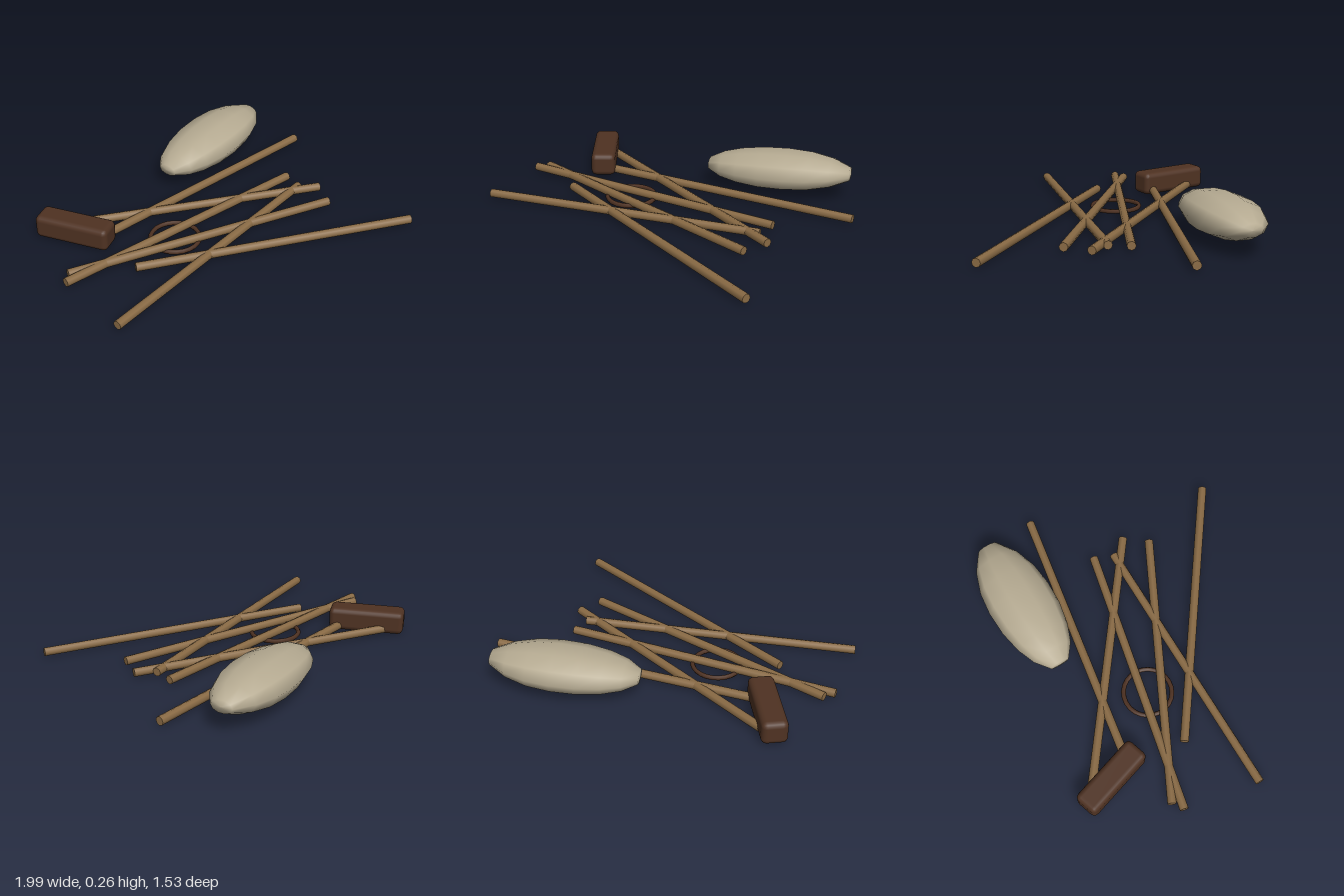
import * as THREE from 'three';
import { RoundedBoxGeometry } from 'three/addons/geometries/RoundedBoxGeometry.js';

const mat = (name, color) => new THREE.MeshStandardMaterial({ name, color });

export function createModel() {
  const group = new THREE.Group();
  const wood = mat('pole wood', 0x8a6b45);
  const canvas = mat('sack cloth', 0xb6ab92);
  const leather = mat('dark brown', 0x4f3222);
  const add = (name, geometry, material, x, y, z) => {
    const mesh = new THREE.Mesh(geometry, material);
    mesh.name = name;
    mesh.position.set(x, y, z);
    group.add(mesh);
    return mesh;
  };

  // Fallen poles: x, z of each end
  const poles = [
    [-0.995, 0.09, 0.66, -0.043],
    [-0.947, 0.03, 0.69, 0.318],
    [-0.947, 0.553, 0.65, 0.082],
    [-0.61, 0.195, 0.965, 0.74],
    [-0.74, -0.39, 0.747, 0.165],
    [-0.58, -0.167, 0.992, -0.375],
  ];
  poles.forEach(([x1, z1, x2, z2], i) => {
    const length = Math.hypot(x2 - x1, z2 - z1);
    const geometry = new THREE.CylinderGeometry(0.026, 0.026, length, 8);
    geometry.rotateZ(-Math.PI / 2);
    const pole = add('pole' + (i + 1), geometry, wood, (x1 + x2) / 2, 0.035, (z1 + z2) / 2);
    pole.rotation.y = -Math.atan2(z2 - z1, x2 - x1);
  });

  // Dark rounded block lying across the pole ends
  const block = add('block', new RoundedBoxGeometry(0.455, 0.14, 0.15, 2, 0.032), leather, -0.727, 0.076, -0.27);
  block.rotation.y = -Math.atan2(0.825, 0.566);

  // Ring on the ground
  const ring = new THREE.TorusGeometry(0.144, 0.014, 6, 24);
  ring.rotateX(Math.PI / 2);
  add('ring', ring, leather, -0.26, 0.014, 0.065);

  // Plump sack: lathe profile of [radius, distance along its axis], flattened
  const profile = [
    [0, -0.44], [0.06, -0.435], [0.125, -0.35], [0.168, -0.24], [0.195, -0.1],
    [0.2, 0.05], [0.184, 0.19], [0.14, 0.32], [0.065, 0.43], [0, 0.437],
  ].map(([r, t]) => new THREE.Vector2(r, t));
  const sackGeometry = new THREE.LatheGeometry(profile, 10);
  sackGeometry.rotateZ(-Math.PI / 2);
  sackGeometry.scale(1, 0.58, 1);
  const sack = add('sack', sackGeometry, canvas, 0.413, 0.152, -0.535);
  sack.rotation.set(0, 0.306, 0.04);

  return group;
}
